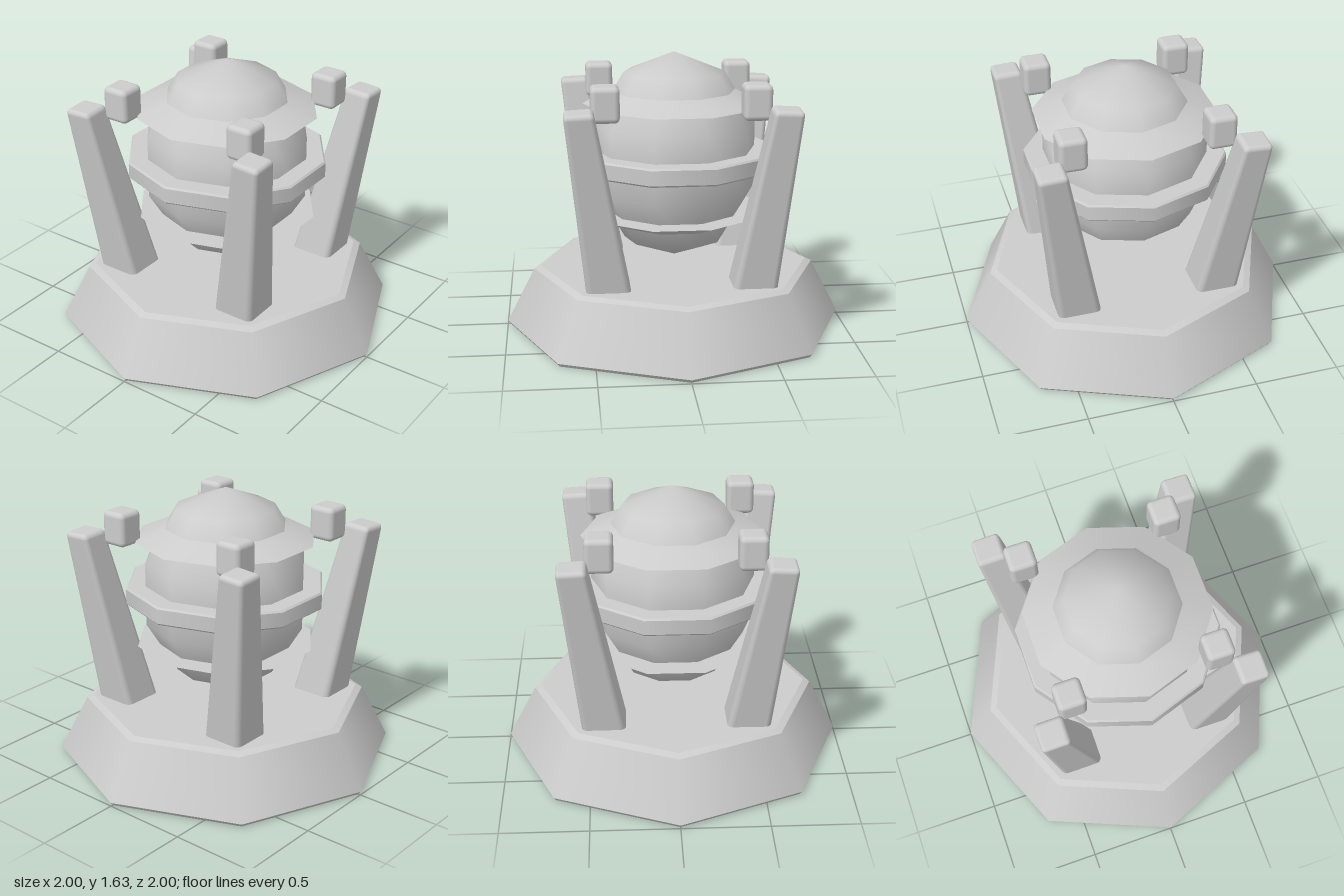
import * as THREE from 'three';
import { mergeGeometries } from 'three/addons/utils/BufferGeometryUtils.js';
import { RoundedBoxGeometry } from 'three/addons/geometries/RoundedBoxGeometry.js';

const grey = new THREE.MeshStandardMaterial({ color: 0xcccccc });
grey.name = 'grey';

function mesh(name, geometry) {
  const m = new THREE.Mesh(geometry, grey);
  m.name = name;
  return m;
}

// Turned shape: smooth around, with a hard edge at each profile point
function turned(profile, sides) {
  const bands = [];
  for (let i = 0; i < profile.length - 1; i++) {
    const pair = [profile[i], profile[i + 1]].map(([r, y]) => new THREE.Vector2(r, y));
    const band = new THREE.LatheGeometry(pair, sides);
    band.normalizeNormals();
    bands.push(band);
  }
  return mergeGeometries(bands);
}

// Tapered, rounded post leaning outwards along +x and +z
function legGeometry() {
  const geo = new RoundedBoxGeometry(0.209, 1.095, 0.209, 3, 0.03);
  const p = geo.attributes.position;
  for (let i = 0; i < p.count; i++) {
    const s = 1 - 0.404 * p.getY(i);
    p.setXYZ(i, p.getX(i) * s, p.getY(i), p.getZ(i) * s);
  }
  geo.applyMatrix4(new THREE.Matrix4().makeShear(-0.05, 0, 0.149, 0.149, 0, -0.05));
  return geo.translate(0.488, 0.8475, 0.488);
}

export function createModel() {
  const model = new THREE.Group();
  model.name = 'pedestalDevice';

  // Octagonal base with bevelled rims
  model.add(mesh('base', turned(
    [[0, 0], [0.985, 0], [1, 0.02], [0.835, 0.343], [0.795, 0.36], [0, 0.36]], 8)));

  // Ten-sided egg-shaped core
  const core = mesh('core', new THREE.SphereGeometry(0.5, 10, 5));
  core.geometry.rotateY(Math.PI / 2).scale(1, 1.22, 1).translate(0, 1.02, 0);
  model.add(core);

  // Collars around the core
  model.add(mesh('upperCollar', turned(
    [[0.3, 1.335], [0.53, 1.335], [0.35, 1.41], [0.3, 1.41]], 10)));
  model.add(mesh('middleCollar', turned(
    [[0.4, 0.965], [0.58, 0.965], [0.59, 0.975], [0.59, 1.06], [0.58, 1.07], [0.4, 1.07]], 10)));
  model.add(mesh('lowerCollar', turned(
    [[0.3, 0.63], [0.35, 0.63], [0.53, 0.7], [0.3, 0.7]], 10)));

  // Four corner legs, each with a floating block
  const leg = legGeometry();
  const block = new RoundedBoxGeometry(0.16, 0.2, 0.16, 3, 0.03).translate(0.42, 1.41, 0.42);
  for (let i = 0; i < 4; i++) {
    const corner = new THREE.Group();
    corner.name = 'corner' + (i + 1);
    corner.add(mesh('leg', leg), mesh('block', block));
    corner.rotation.y = i * Math.PI / 2;
    model.add(corner);
  }
  return model;
}
